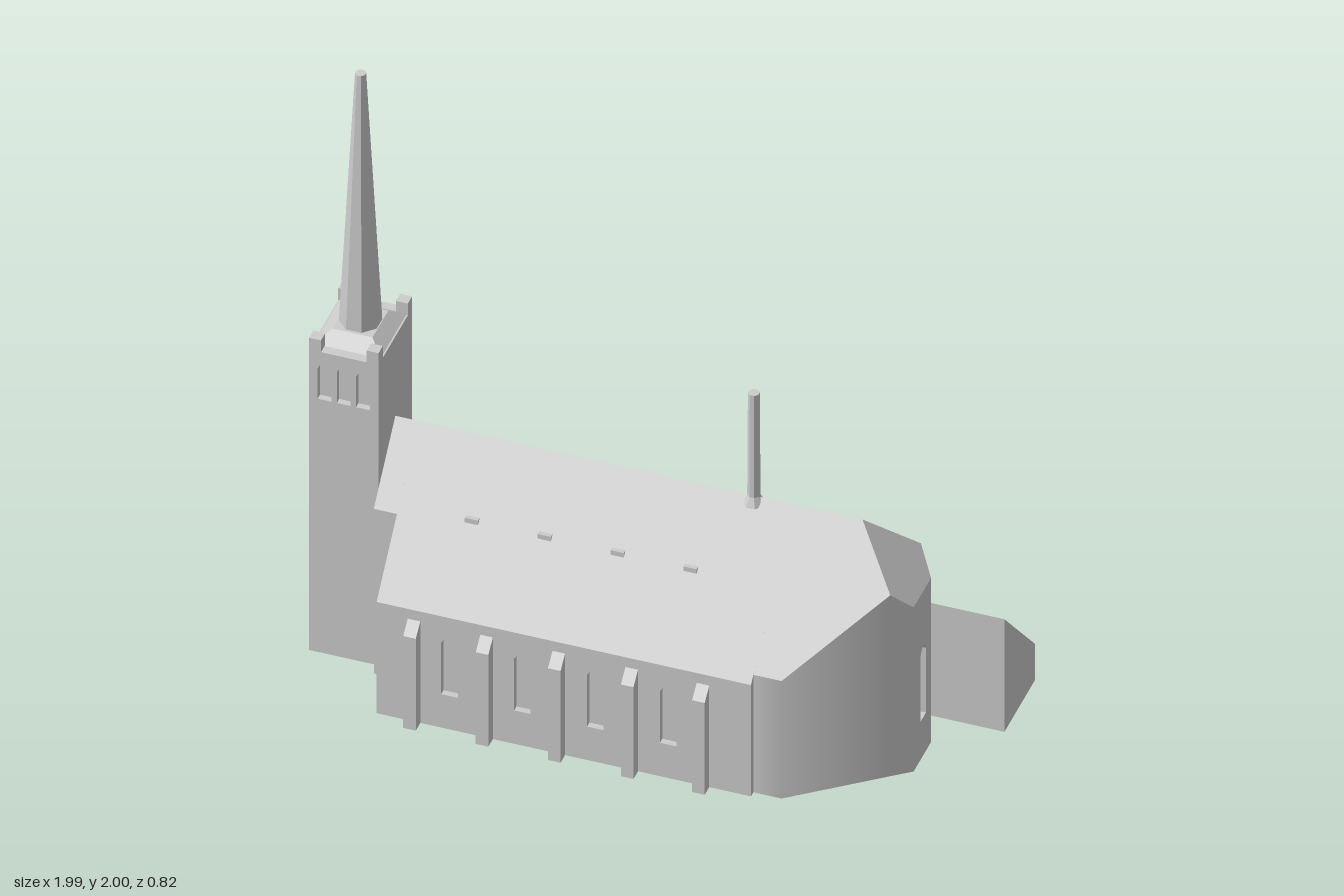
import * as THREE from 'three';

const RIDGE_Z = 0.02, RIDGE_Y = 0.795, SLOPE = 1.129, DEPTH = 0.02;

export function createModel() {
  const model = new THREE.Group();
  model.name = 'church';
  const stone = new THREE.MeshStandardMaterial({ color: 0xcccccc });
  stone.name = 'pale grey stone';

  const add = (name, geometry, x = 0, y = 0, z = 0, turn = 0) => {
    const mesh = new THREE.Mesh(geometry, stone);
    mesh.name = name;
    mesh.position.set(x, y, z);
    mesh.rotation.y = turn;
    model.add(mesh);
    return mesh;
  };
  const box = (name, w, h, d, x, y, z) => add(name, new THREE.BoxGeometry(w, h, d), x, y, z);
  const flat = (geometry) => {
    const g = geometry.toNonIndexed();
    g.computeVertexNormals();
    return g;
  };

  // Prism running along x from x0 to x1, its profile given as [z, y]
  const prism = (name, profile, x0, x1) => {
    const shape = new THREE.Shape(profile.map(([z, y]) => new THREE.Vector2(-z, y)));
    const g = new THREE.ExtrudeGeometry(shape, { depth: x1 - x0, bevelEnabled: false });
    g.rotateY(Math.PI / 2);
    return add(name, g, x0);
  };

  // Wall slab with pointed openings [centre, width, bottom, top]; outer face at local z = 0
  const wall = (name, w, h, openings, x, z, turn) => {
    const shape = new THREE.Shape([[-w / 2, 0], [w / 2, 0], [w / 2, h], [-w / 2, h]]
      .map((p) => new THREE.Vector2(...p)));
    for (const [c, ow, b, t] of openings) {
      const r = ow / 2, s = t - ow * 0.6;
      const hole = new THREE.Path();
      hole.moveTo(c - r, b);
      hole.lineTo(c - r, s);
      hole.lineTo(c - r * 0.6, s + (t - s) * 0.6);
      hole.lineTo(c, t);
      hole.lineTo(c + r * 0.6, s + (t - s) * 0.6);
      hole.lineTo(c + r, s);
      hole.lineTo(c + r, b);
      hole.closePath();
      shape.holes.push(hole);
    }
    const g = new THREE.ExtrudeGeometry(shape, { depth: DEPTH, bevelEnabled: false });
    g.translate(0, 0, -DEPTH);
    return add(name, g, x, 0, z, turn);
  };

  // Nave core with overhanging gable roof
  const half = 0.35, inner = half - DEPTH, eave = 0.4;
  prism('nave', [[-inner, 0], [inner, 0], [inner, eave - 0.005], [half, eave - 0.005], [half, eave],
    [0, RIDGE_Y], [-half, eave], [-half, eave - 0.005], [-inner, eave - 0.005]], -0.715, 0.415)
    .position.z = RIDGE_Z;

  // Nave side walls, buttresses and roof vents, mirrored front to back
  const windowXs = [-0.495, -0.275, -0.055, 0.165];
  const buttressXs = [-0.602, -0.383, -0.165, 0.055, 0.27];
  for (const side of [1, -1]) {
    wall('naveWall', 1.13, eave - 0.005, windowXs.map((x) => [side * (x + 0.15), 0.05, 0.12, 0.335]),
      -0.15, RIDGE_Z + side * half, side > 0 ? 0 : Math.PI);
    for (const x of buttressXs) {
      const profile = [[0.34, 0], [0.388, 0], [0.388, 0.33], [0.35, 0.365], [0.34, 0.365]];
      prism('buttress', profile.map(([z, y]) => [RIDGE_Z + side * z, y]), x - 0.019, x + 0.019);
    }
    for (const x of windowXs) box('roofVent', 0.04, 0.016, 0.015, x, 0.614, RIDGE_Z + side * 0.16);
  }

  // Narrow bay between tower and nave
  prism('westBay', [[-0.18, 0], [0.18, 0], [0.18, 0.592], [0, RIDGE_Y], [-0.18, 0.592]], -0.785, -0.715)
    .position.z = RIDGE_Z;

  // Choir and apse: outline [x, z] from the front wall round to the back wall
  const outline = [[0.415, 0.35], [0.5, 0.35], [0.755, 0.148], [0.81, 0.105],
    [0.81, -0.04], [0.755, -0.108], [0.705, -0.165], [0.415, -0.165]];
  const roofY = (x, z) => RIDGE_Y - Math.max(SLOPE * Math.abs(z - RIDGE_Z), 1.108 * (x - 0.625));
  const low = outline.map(([x, z]) => new THREE.Vector3(x, 0, z));
  const high = outline.map(([x, z]) => new THREE.Vector3(x, roofY(x, z), z));
  const ridge = [0.415, 0.625].map((x) => new THREE.Vector3(x, RIDGE_Y, RIDGE_Z));
  const centre = new THREE.Vector3(0.55, 0.3, 0.03);

  // Convex faces turned outward; optional normals per corner for a soft wall
  const faces = (name, list) => {
    const pos = [], nor = [];
    for (const { pts, normals } of list) {
      const n = pts[1].clone().sub(pts[0]).cross(pts[2].clone().sub(pts[0])).normalize();
      const out = n.dot(pts[0].clone().sub(centre)) > 0;
      if (!out) n.negate();
      for (let i = 1; i < pts.length - 1; i++) {
        for (const k of out ? [0, i, i + 1] : [0, i + 1, i]) {
          pos.push(...pts[k].toArray());
          nor.push(...(normals ? normals[k] : n).toArray());
        }
      }
    }
    const g = new THREE.BufferGeometry();
    g.setAttribute('position', new THREE.Float32BufferAttribute(pos, 3));
    g.setAttribute('normal', new THREE.Float32BufferAttribute(nor, 3));
    return add(name, g);
  };
  const soft = [[0, 1], [0.33, 0.94], [0.68, 0.73], [0.9, 0.44]]
    .map(([x, z]) => new THREE.Vector3(x, 0, z).normalize());
  const choirWalls = [];
  for (let i = 0; i < outline.length - 1; i++) {
    if (i === 3) continue; // the east face is a wall slab with a window
    choirWalls.push({
      pts: [low[i], low[i + 1], high[i + 1], high[i]],
      normals: i < 3 ? [soft[i], soft[i + 1], soft[i + 1], soft[i]] : null,
    });
  }
  faces('choirWalls', choirWalls);
  faces('choirFloor', [{ pts: low }]);
  faces('choirRoof', [
    { pts: [ridge[0], ridge[1], high[2], high[1], high[0]] },
    { pts: [ridge[1], high[2], high[3], high[4], high[5]] },
    { pts: [ridge[0], ridge[1], high[5], high[6], high[7]] },
  ]);
  wall('apseEastWall', 0.145, high[3].y, [[0.0075, 0.046, 0.137, 0.397]], 0.81, 0.0325, Math.PI / 2);
  box('apseWindowBack', 0.01, 0.4, 0.1, 0.787, 0.25, 0.03);

  // Lean-to annex behind the apse
  prism('annex', [[-0.155, 0], [-0.41, 0], [-0.41, 0.13], [-0.155, 0.405]], 0.68, 0.99);

  // Tower core and walls with belfry lancets
  const tx = -0.89, tw = 0.21, td = 0.28, th = 1.08;
  box('towerCore', tw - DEPTH, th, td - 2 * DEPTH, tx + DEPTH / 2, th / 2, RIDGE_Z);
  const lancets = (gap) => [-gap, 0, gap].map((c) => [c, 0.042, 0.91, 1.045]);
  wall('towerFrontWall', tw, th, lancets(0.058), tx, RIDGE_Z + td / 2, 0);
  wall('towerBackWall', tw, th, lancets(0.058), tx, RIDGE_Z - td / 2, Math.PI);
  wall('towerWestWall', td - 2 * DEPTH, th,
    [...lancets(0.065), [0, 0.05, 0.275, 0.465], [0, 0.055, 0.015, 0.145]],
    tx - tw / 2, RIDGE_Z, -Math.PI / 2);

  // Corner pinnacles and low tower roof
  for (const sx of [-1, 1]) {
    for (const sz of [-1, 1]) {
      box('towerPinnacle', 0.036, 0.05, 0.036, tx + sx * (tw / 2 - 0.018), 1.097, RIDGE_Z + sz * (td / 2 - 0.018));
    }
  }
  const cap = new THREE.CylinderGeometry(0.6 * Math.SQRT1_2, Math.SQRT1_2, 0.033, 4);
  cap.rotateY(Math.PI / 4);
  cap.scale(0.2, 1, 0.22);
  add('towerRoof', flat(cap), tx, th + 0.0165, RIDGE_Z);

  // Eight-sided spires
  const octagon = (name, top, bottom, y0, y1, x) => {
    const g = new THREE.CylinderGeometry(top, bottom, y1 - y0, 8);
    g.rotateY(Math.PI / 8);
    add(name, flat(g), x, (y0 + y1) / 2, RIDGE_Z);
  };
  octagon('spire', 0.016, 0.063, 1.09, 2.0, tx);
  octagon('ridgeTurretBase', 0.019, 0.033, 0.77, 0.8, 0.297);
  octagon('ridgeTurret', 0.017, 0.019, 0.79, 1.165, 0.297);

  return model;
}
